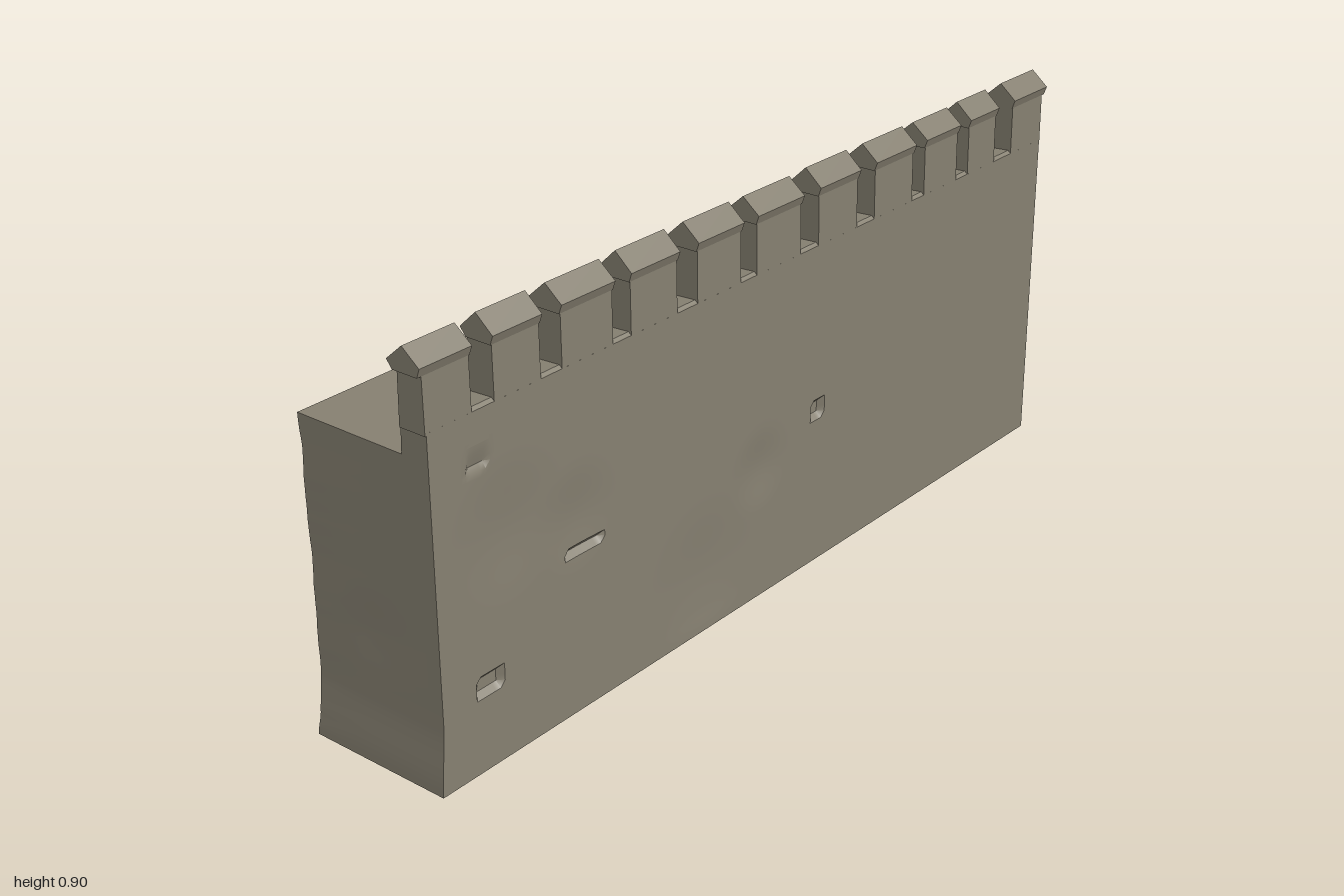
import * as THREE from 'three';
import { toCreasedNormals } from 'three/addons/utils/BufferGeometryUtils.js';

const stone = new THREE.MeshStandardMaterial({ color: 0x857f70 });
stone.name = 'weathered stone';

const { smoothstep, lerp } = THREE.MathUtils;

// Left and right limits of every merlon
const MERLONS = [
  [-1, -0.875], [-0.825, -0.7], [-0.65, -0.505], [-0.46, -0.32], [-0.265, -0.125], [-0.08, 0.07],
  [0.125, 0.265], [0.322, 0.468], [0.508, 0.64], [0.68, 0.795], [0.86, 0.997],
];

// Soft hollows in the front face: x, y, radius, depth
const HOLLOWS = [[-0.8, 0.47, 0.16, 0.006], [-0.62, 0.42, 0.12, 0.006], [-0.06, 0.3, 0.1, 0.006], [-0.25, 0.13, 0.18, 0.005]];
// Sharp chips in the front face: x, y, half width, half height
const CHIPS = [[0.132, 0.368, 0.02, 0.018], [-0.6, 0.35, 0.05, 0.008], [-0.86, 0.185, 0.032, 0.018], [-0.87, 0.645, 0.022, 0.02]];

// Rough, layered waviness for the back face, about -1 to 1
function rubble(x, y) {
  return 0.5 * Math.sin(5.1 * x + 7 * y + 1) * Math.sin(9 * y - 2.3 * x)
    + 0.3 * Math.sin(17 * x + 9 * y) * Math.sin(21 * y - 6 * x + 2)
    + 0.2 * Math.sin(31 * x + 14 * y + 4) * Math.sin(43 * y + 11 * x);
}

function frontDepth(x, y) {
  let d = 0;
  for (const [cx, cy, r, depth] of HOLLOWS) {
    d += depth * (1 - smoothstep(Math.hypot(x - cx, y - cy) / r, 0, 1));
  }
  for (const [cx, cy, w, h] of CHIPS) {
    if (Math.abs(x - cx) < w && Math.abs(y - cy) < h) d += 0.012;
  }
  return d;
}

// Thick wall with a flared foot, worn back and chipped front
function buildWall() {
  const geo = new THREE.BoxGeometry(1.974, 0.677, 0.33, 160, 56, 10);
  geo.translate(0, 0.3385, 0);
  const p = geo.attributes.position;
  for (let i = 0; i < p.count; i++) {
    const x = p.getX(i), y = p.getY(i), z = p.getZ(i);
    const back = smoothstep(-z, 0.05, 0.165);
    const edgeFade = smoothstep(0.677 - y, 0, 0.08) * smoothstep(y, 0, 0.05);
    const foot = 1 - smoothstep(y, 0, 0.15);
    let nz = z;
    if (z > 0.164) nz -= frontDepth(x, y) * edgeFade;
    nz += back * (edgeFade * (0.004 + 0.005 * rubble(x, y)) - 0.004 * foot);
    // left end flares at the foot, both ends have shallow wear
    const end = smoothstep(Math.abs(x), 0.93, 0.987) * Math.sign(x);
    const wear = 0.004 * (1 - smoothstep(Math.hypot(z, y - 0.28), 0, 0.1)) + 0.002 * back * rubble(y * 2, y);
    const nx = x - end * wear * edgeFade - (x < 0 ? Math.abs(end) * foot * 0.011 : 0);
    p.setXYZ(i, nx, y, nz);
  }
  return toCreasedNormals(geo, 0.7);
}

// Extrudes a z, y profile between two x positions
function sweepX(profile, x0, x1) {
  const shape = new THREE.Shape(profile.map(([z, y]) => new THREE.Vector2(z, y)));
  const geo = new THREE.ExtrudeGeometry(shape, { depth: x1 - x0, bevelEnabled: false });
  return geo.rotateY(-Math.PI / 2).translate(x1, 0, 0);
}

export function createModel() {
  const group = new THREE.Group();
  group.name = 'battlementWall';
  const add = (geo, name) => {
    const mesh = new THREE.Mesh(geo, stone);
    mesh.name = name;
    group.add(mesh);
  };

  add(buildWall(), 'wall');

  // Low parapet along the front, its sill slightly sloped
  const parapet = [[0.1, 0.67], [0.165, 0.67], [0.165, 0.735], [0.158, 0.741], [0.103, 0.738]];
  add(sweepX(parapet, -0.987, 0.987), 'parapet');

  // Merlons with ridged, slightly overhanging caps
  const post = [[0.103, 0.73], [0.165, 0.73], [0.164, 0.855], [0.106, 0.855]];
  MERLONS.forEach(([x0, x1], i) => {
    const a = i === 0 ? -0.99 : x0 + 0.003;
    const b = i === MERLONS.length - 1 ? 0.988 : x1 - 0.003;
    add(sweepX(post, a, b), 'merlon');

    const tilt = lerp(-0.002, 0.002, (i * 7 % 11) / 10);
    const cap = [[0.105, 0.842], [0.164, 0.842], [0.171, 0.861], [0.131, 0.895 + tilt], [0.092, 0.859]];
    add(sweepX(cap, x0, x1), 'merlonCap');
  });

  return group;
}
